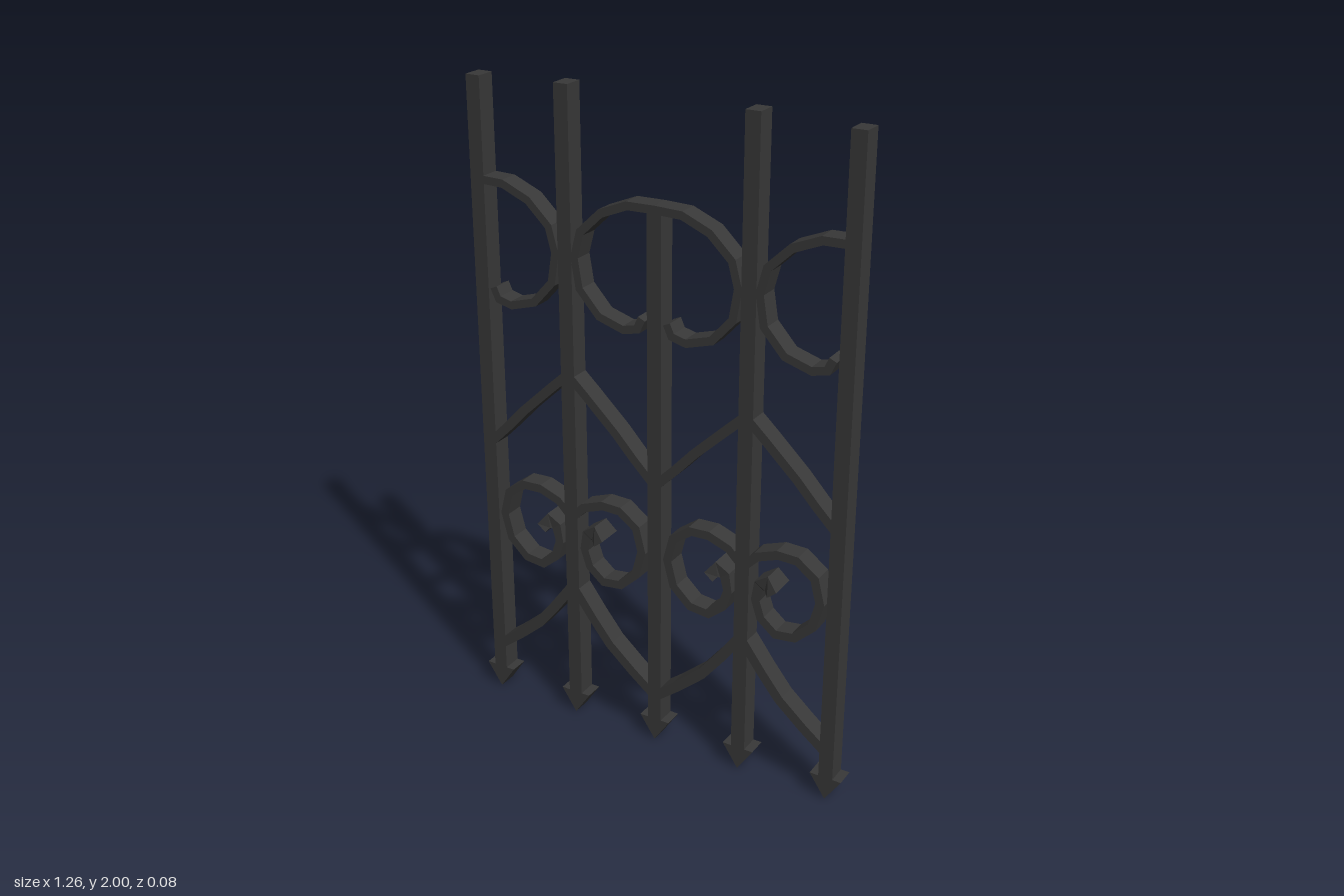
import * as THREE from 'three';
import { mergeVertices } from 'three/addons/utils/BufferGeometryUtils.js';

const DEPTH = 0.06;
const iron = new THREE.MeshStandardMaterial({ color: 0x383838, flatShading: true });

// Flat iron strap swept along [x, y, thickness?, depth?] points, mirrored by s
function strap(points, s, thickness) {
  const pts = points.map(([x, y, t = thickness, d = DEPTH]) => ({ x: x * s, y, t: t / 2, d: d / 2 }));
  const pos = [], index = [], n = pts.length;
  const dir = (a, b) => new THREE.Vector2(b.x - a.x, b.y - a.y).normalize();
  pts.forEach((p, i) => {
    const before = dir(pts[Math.max(i - 1, 0)], pts[Math.max(i, 1)]);
    const after = dir(pts[Math.min(i, n - 2)], pts[Math.min(i + 1, n - 1)]);
    const tan = before.clone().add(after).normalize();
    const w = p.t / Math.max(tan.dot(before), 0.6); // mitred joint
    const nx = -tan.y * w, ny = tan.x * w;
    pos.push(p.x + nx, p.y + ny, p.d, p.x - nx, p.y - ny, p.d,
      p.x - nx, p.y - ny, -p.d, p.x + nx, p.y + ny, -p.d);
  });
  for (let i = 0; i < n - 1; i++) {
    for (let k = 0; k < 4; k++) {
      const a = i * 4 + k, b = i * 4 + (k + 1) % 4;
      index.push(a, b, b + 4, a, b + 4, a + 4);
    }
  }
  const e = (n - 1) * 4;
  index.push(0, 2, 1, 0, 3, 2, e, e + 1, e + 2, e, e + 2, e + 3);
  const geo = new THREE.BufferGeometry();
  geo.setAttribute('position', new THREE.Float32BufferAttribute(pos, 3));
  geo.setIndex(index);
  const merged = mergeVertices(geo);
  merged.computeVertexNormals();
  return merged;
}

// Profiles: x measured away from the bar each strap springs from
const upperScroll = [[0, 1.697], [0.085, 1.695], [0.17, 1.66], [0.238, 1.595], [0.258, 1.52],
  [0.243, 1.43], [0.18, 1.36], [0.1, 1.336], [0.055, 1.347], [0.04, 1.38]];
const upperBrace = [[0, 1.16], [0.06, 1.105], [0.16, 1.01], [0.22, 0.945], [0.29, 0.875]];
const lowerBrace = [[0, 0.46], [0.07, 0.365], [0.13, 0.29], [0.21, 0.22], [0.29, 0.157]];
const lowerScroll = [[0, 0.695], [0.045, 0.74], [0.11, 0.764], [0.17, 0.762], [0.227, 0.72],
  [0.246, 0.645], [0.225, 0.565], [0.17, 0.513], [0.11, 0.506], [0.063, 0.545], [0.045, 0.6],
  [0.055, 0.65, 0.032], [0.08, 0.665, 0.036, 0.066], [0.102, 0.638, 0.036, 0.084]];

export function createModel() {
  const group = new THREE.Group();
  const add = (name, geo, x = 0, y = 0) => {
    const mesh = new THREE.Mesh(geo, iron);
    mesh.name = name;
    mesh.position.set(x, y, 0);
    group.add(mesh);
  };

  // Downward arrowhead, shared by every bar
  const head = new THREE.ExtrudeGeometry(
    new THREE.Shape([new THREE.Vector2(-0.05, 0.075), new THREE.Vector2(0, 0), new THREE.Vector2(0.05, 0.075)]),
    { depth: DEPTH, bevelEnabled: false });
  head.translate(0, 0, -DEPTH / 2);

  // Upright bars
  for (const [x, top] of [[-0.58, 1.99], [-0.29, 2], [0, 1.7], [0.29, 2], [0.58, 1.99]]) {
    const h = top - 0.07;
    add('uprightBar', new THREE.BoxGeometry(0.045, h, DEPTH), x, 0.07 + h / 2);
    add('arrowhead', head, x);
  }

  // Upper scrolls spring from the centre and outer bars
  for (const [x, s] of [[0, 1], [0, -1], [0.58, -1], [-0.58, 1]]) {
    add('upperScroll', strap(upperScroll, s, 0.024), x);
  }

  // Braces and lower scrolls spread both ways from the two inner bars
  for (const x of [-0.29, 0.29]) {
    for (const s of [-1, 1]) {
      add('upperBrace', strap(upperBrace, s, 0.028), x);
      add('lowerBrace', strap(lowerBrace, s, 0.032), x);
      add('lowerScroll', strap(lowerScroll, s, 0.027), x);
    }
  }
  return group;
}
